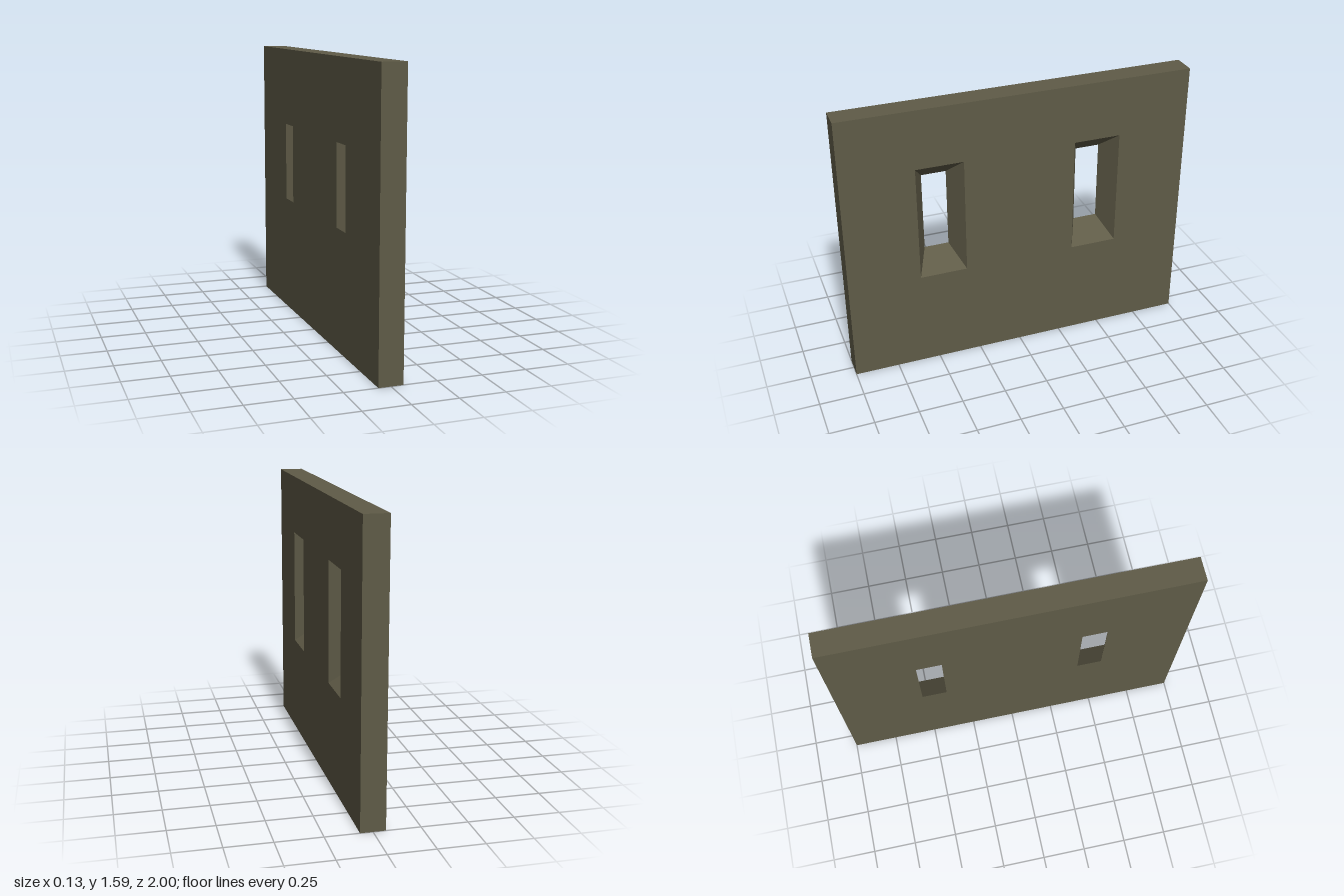
import * as THREE from 'three';

const T = 0.067; // half thickness
const H = 1.59;  // wall height

// rectangle corners as [z, y]
const rect = (z0, z1, y0, y1) => [[z0, y0], [z1, y0], [z1, y1], [z0, y1]];

const outline = rect(-1, 1, 0, H);
const wideHoles = [rect(-0.59, -0.32, 0.57, 1.25), rect(0.32, 0.59, 0.57, 1.25)];
const narrowHoles = [rect(-0.525, -0.385, 0.68, 1.14), rect(0.385, 0.525, 0.68, 1.14)];

// flat pierced face at x = side * T, facing along side
function faceGeometry(holes, side) {
  const toPoints = loop => loop.map(([z, y]) => new THREE.Vector2(-side * z, y));
  const shape = new THREE.Shape(toPoints(outline));
  holes.forEach(h => shape.holes.push(new THREE.Path(toPoints(h))));
  return new THREE.ShapeGeometry(shape).rotateY(side * Math.PI / 2).translate(side * T, 0, 0);
}

// four quads joining a loop on the +x face to a loop on the -x face
function bandGeometry(near, far, inward) {
  const pos = [];
  for (let i = 0; i < 4; i++) {
    const j = (i + 1) % 4;
    const a0 = [T, near[i][1], near[i][0]], a1 = [T, near[j][1], near[j][0]];
    const b0 = [-T, far[i][1], far[i][0]], b1 = [-T, far[j][1], far[j][0]];
    const quad = inward ? [a0, b1, a1, a0, b0, b1] : [a0, a1, b1, a0, b1, b0];
    quad.forEach(p => pos.push(...p));
  }
  const g = new THREE.BufferGeometry();
  g.setAttribute('position', new THREE.Float32BufferAttribute(pos, 3));
  g.computeVertexNormals();
  return g;
}

export function createModel() {
  const group = new THREE.Group();
  group.name = 'wallPanel';
  const stone = new THREE.MeshStandardMaterial({ color: 0x5f5b47 });
  stone.name = 'olive stone';

  const add = (name, geometry) => {
    const mesh = new THREE.Mesh(geometry, stone);
    mesh.name = name;
    group.add(mesh);
  };

  // wall faces and rim
  add('innerFace', faceGeometry(wideHoles, 1));
  add('outerFace', faceGeometry(narrowHoles, -1));
  add('wallEdges', bandGeometry(outline, outline, false));

  // splayed window slits, wide at +x and narrow at -x
  wideHoles.forEach((hole, i) =>
    add(i ? 'frontWindowReveal' : 'backWindowReveal', bandGeometry(hole, narrowHoles[i], true)));

  return group;
}
